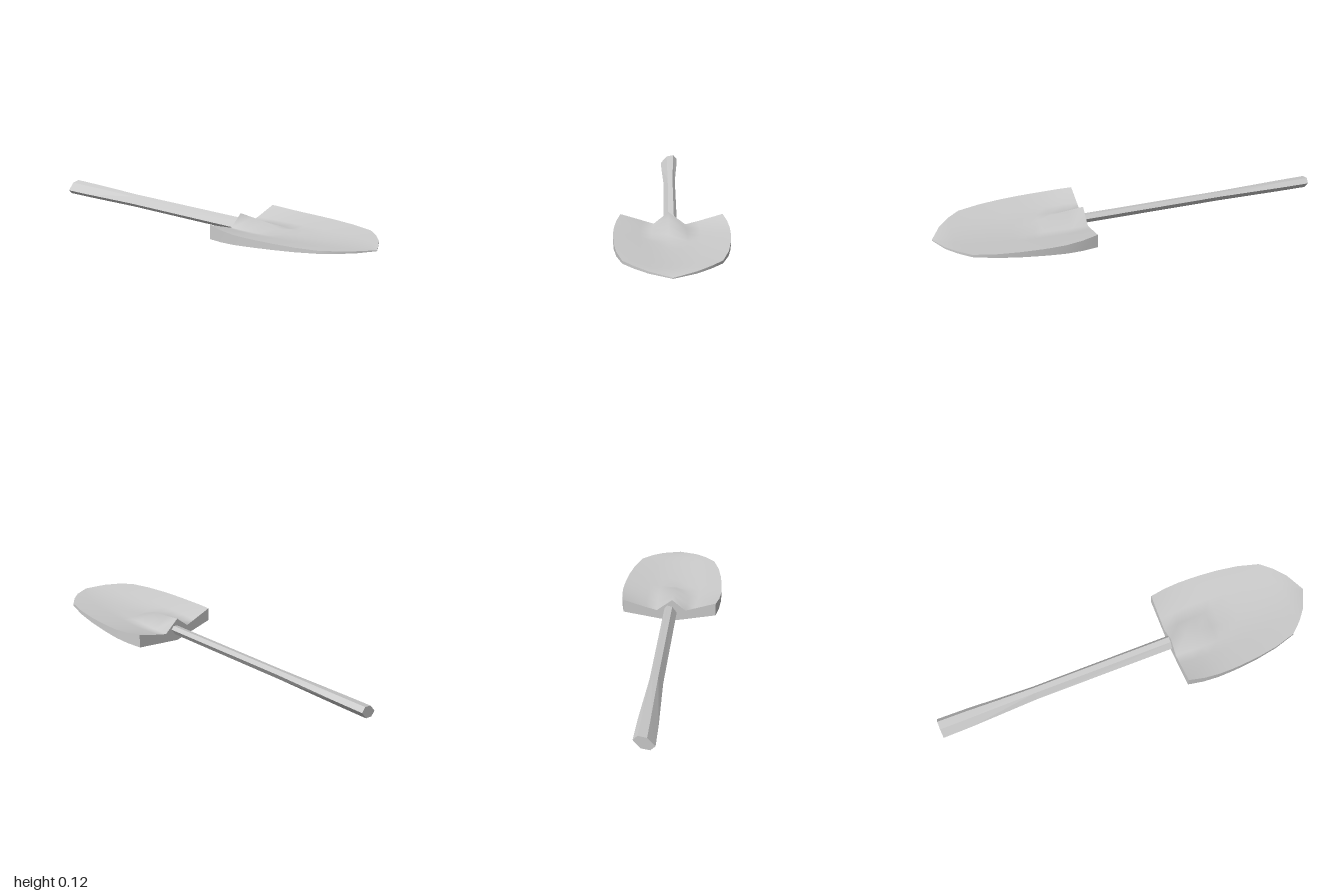
import * as THREE from 'three';

const material = new THREE.MeshStandardMaterial({ color: 0xcccccc, side: THREE.DoubleSide });
const flatMaterial = new THREE.MeshStandardMaterial({ color: 0xcccccc, flatShading: true });

// Smooth skin through rows of points
function skin(rows) {
  const n = rows[0].length, index = [];
  for (let r = 0; r < rows.length - 1; r++) {
    for (let c = 0; c < n - 1; c++) {
      const a = r * n + c, b = a + 1, d = a + n, e = d + 1;
      index.push(a, b, d, b, e, d);
    }
  }
  const g = new THREE.BufferGeometry();
  g.setAttribute('position', new THREE.Float32BufferAttribute(rows.flat(2), 3));
  g.setIndex(index);
  g.computeVertexNormals();
  return g;
}

function add(group, name, geometry, mat = material) {
  const mesh = new THREE.Mesh(geometry, mat);
  mesh.name = name;
  group.add(mesh);
}

// Blade stations: x, half width, rim top, rim bottom, keel, valley, centre ridge
const stations = [
  [0.24, 0.248, 0.115, 0.045, 0.002, 0.062, 0.125],
  [0.32, 0.264, 0.107, 0.049, 0.009, 0.065, 0.117],
  [0.40, 0.271, 0.102, 0.054, 0.016, 0.068, 0.108],
  [0.47, 0.271, 0.101, 0.060, 0.022, 0.071, 0.090],
  [0.52, 0.269, 0.101, 0.064, 0.027, 0.073, 0.073],
  [0.62, 0.261, 0.101, 0.072, 0.036, 0.077, 0.074],
  [0.73, 0.244, 0.101, 0.080, 0.046, 0.082, 0.079],
  [0.84, 0.213, 0.101, 0.088, 0.055, 0.088, 0.086],
  [0.90, 0.160, 0.100, 0.088, 0.066, 0.091, 0.090],
  [0.95, 0.100, 0.096, 0.086, 0.075, 0.092, 0.092],
  [1.00, 0.001, 0.087, 0.083, 0.083, 0.087, 0.087],
];
const across = [-1, -0.75, -0.5, -0.27, 0.06, 0.35, 0.55, 0.78, 1];

function topPoint([x, w, rim, , , valley, ridge], u) {
  const a = Math.abs(u);
  let y = valley + (rim - valley) * Math.max(0, (a - 0.3) / 0.7);
  if (u === 0.06) y = ridge;
  return [x, y, u * w];
}

function bottomPoint([x, w, , low, keel], u) {
  const t = u < 0.06 ? (0.06 - u) / 1.06 : (u - 0.06) / 0.94;
  return [x, keel + (low - keel) * t, u * w];
}

function makeBlade() {
  const blade = new THREE.Group();
  blade.name = 'blade';
  const top = stations.map(s => across.map(u => topPoint(s, u)));
  const bottom = stations.map(s => across.map(u => bottomPoint(s, u)));
  const last = across.length - 1;
  add(blade, 'bladeTop', skin(top));
  add(blade, 'bladeUnderside', skin(bottom.map(row => [...row].reverse())));
  add(blade, 'frontRim', skin(top.map((row, i) => [row[last], bottom[i][last]])));
  add(blade, 'backRim', skin(top.map((row, i) => [bottom[i][0], row[0]])));
  add(blade, 'heelWall', skin([bottom[0], top[0]]));
  return blade;
}

// Six-sided handle, slimmer beyond the grip
function makeHandle() {
  const section = [[0.055, 0.05], [0.02, 0.09], [-0.02, 0.098], [-0.041, 0.076], [-0.007, 0.036], [0.033, 0.029]];
  const cz = 0.007, cy = 0.063;
  const ring = ([x, sz, sy]) =>
    [...section, section[0]].map(([z, y]) => [x, cy + (y - cy) * sy, cz + (z - cz) * sz]);
  const rings = [[-1, 1, 1], [-0.85, 0.95, 0.97], [-0.5, 0.66, 0.85], [0.3, 0.69, 0.83]].map(ring);
  const handle = new THREE.Group();
  handle.name = 'handle';
  add(handle, 'shaft', skin(rings.map(r => [...r].reverse())), flatMaterial);
  const capRow = r => r.map(([x]) => [x, cy, cz]);
  add(handle, 'gripEnd', skin([capRow(rings[0]), [...rings[0]]].map(r => [...r].reverse())), flatMaterial);
  return handle;
}

export function createModel() {
  const model = new THREE.Group();
  model.name = 'shovel';
  // Make every one-sided skin visible from both sides
  flatMaterial.side = THREE.DoubleSide;
  model.add(makeHandle(), makeBlade());
  return model;
}
